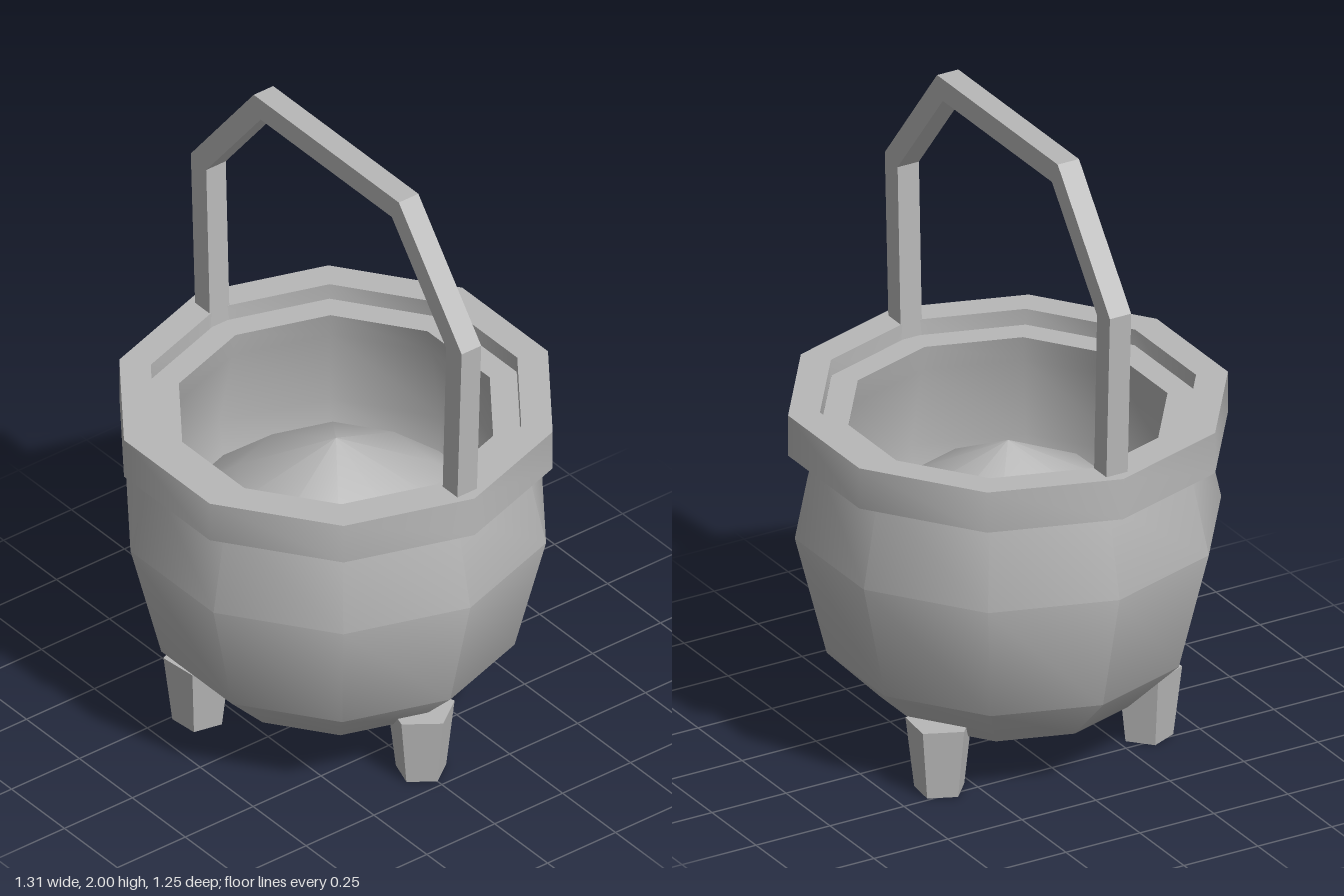
import * as THREE from 'three';
import { toCreasedNormals } from 'three/addons/utils/BufferGeometryUtils.js';

const SIDES = 10;

export function createModel() {
  const group = new THREE.Group();
  const iron = new THREE.MeshStandardMaterial({ color: 0xb8b8b8 });
  iron.name = 'grey iron';

  const add = (name, geometry) => {
    const mesh = new THREE.Mesh(geometry, iron);
    mesh.name = name;
    group.add(mesh);
    return mesh;
  };

  // Ten-sided turned part with a corner on the x axis; profile runs bottom-outside to top-inside
  const turned = (profile) => {
    const points = profile.map(([r, y]) => new THREE.Vector2(r, y));
    const geometry = new THREE.LatheGeometry(points, SIDES);
    geometry.rotateY(Math.PI / 2);
    return toCreasedNormals(geometry, THREE.MathUtils.degToRad(42));
  };

  // Pot shell: flat base, belly, lip and inner wall
  add('pot', turned([
    [0, 0.165], [0.38, 0.165], [0.54, 0.325], [0.635, 0.705], [0.575, 0.975],
    [0.558, 1.055], [0.475, 1.055], [0.49, 0.975], [0.55, 0.705], [0.53, 0.58],
  ]));

  // Low mound filling the inside
  add('contents', turned([[0.55, 0.58], [0.3, 0.8], [0, 0.955]]));

  // Heavy band around the mouth
  add('rim', turned([
    [0.56, 0.975], [0.655, 0.975], [0.655, 1.105], [0.56, 1.105], [0.56, 0.975],
  ]));

  // Angular carrying handle: half outlines mirrored into one closed band
  const outer = [[0.617, 1.03], [0.64, 1.625], [0.343, 2]];
  const inner = [[0.548, 1.03], [0.567, 1.607], [0.31, 1.93]];
  const mirror = (points) => points.map(([x, y]) => [-x, y]);
  const outline = [
    ...outer, ...mirror(outer).reverse(),
    ...mirror(inner), ...[...inner].reverse(),
  ].map(([x, y]) => new THREE.Vector2(x, y));
  const band = new THREE.ExtrudeGeometry(new THREE.Shape(outline), { depth: 0.072, bevelEnabled: false });
  band.translate(0, 0, -0.036);
  add('handle', band);

  // Three tapered five-sided feet, each with a corner pointing outward
  for (let i = 0; i < 3; i++) {
    const foot = new THREE.CylinderGeometry(0.103, 0.077, 0.22, 5);
    foot.rotateY(Math.PI / 2);
    foot.translate(0.403, 0.11, 0);
    foot.rotateY((i * Math.PI * 2) / 3);
    add('foot' + (i + 1), toCreasedNormals(foot, 0.3));
  }

  return group;
}
